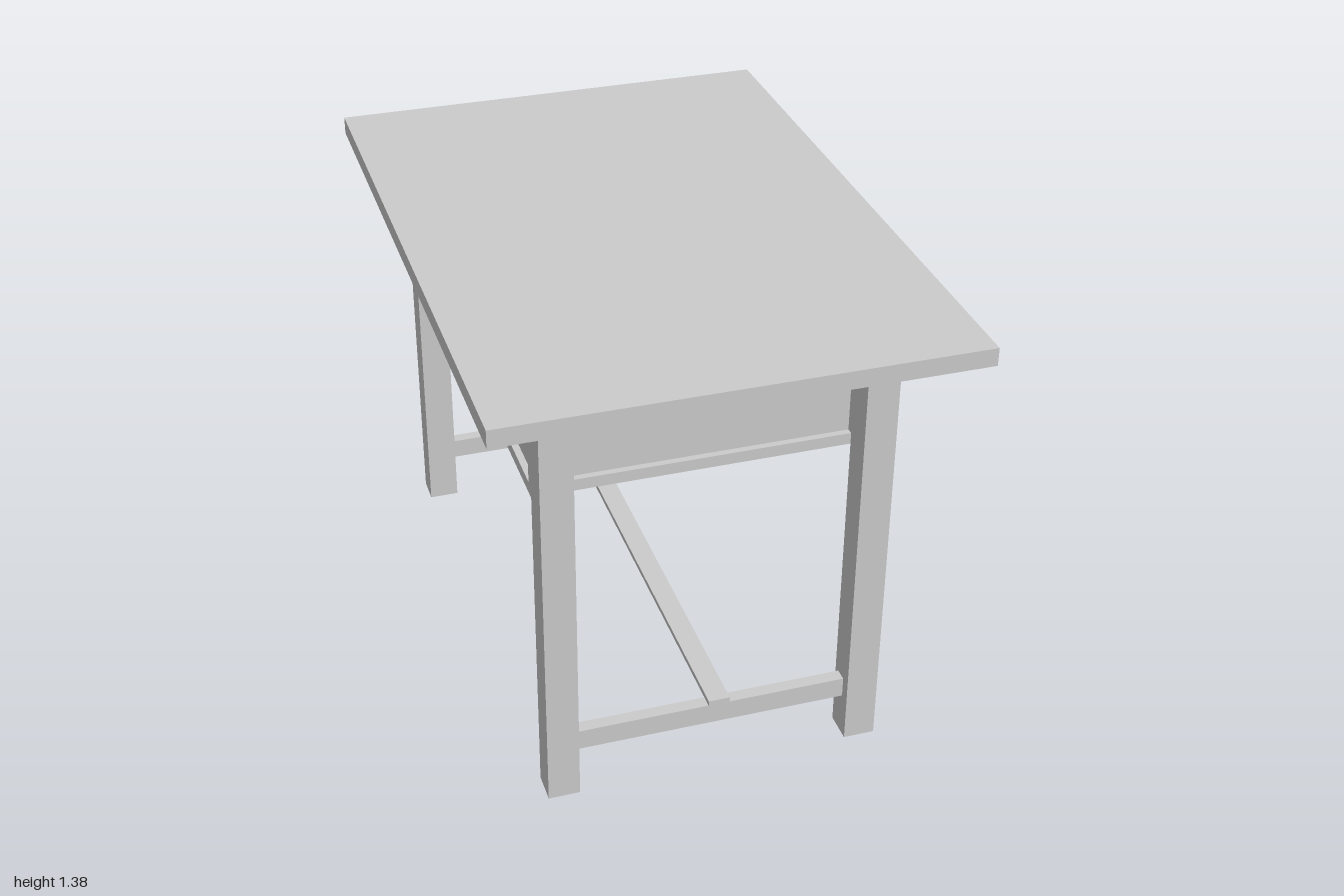
import * as THREE from 'three';

const material = new THREE.MeshStandardMaterial({ color: 0xcccccc, flatShading: true });

// Box given by its extents on each axis
function box(parent, name, [x0, x1], [y0, y1], [z0, z1]) {
  const mesh = new THREE.Mesh(new THREE.BoxGeometry(x1 - x0, y1 - y0, z1 - z0), material);
  mesh.position.set((x0 + x1) / 2, (y0 + y1) / 2, (z0 + z1) / 2);
  mesh.name = name;
  parent.add(mesh);
  return mesh;
}

function subgroup(parent, name) {
  const group = new THREE.Group();
  group.name = name;
  parent.add(group);
  return group;
}

export function createModel() {
  const table = new THREE.Group();
  table.name = 'workTable';

  box(table, 'tableTop', [-0.7, 0.7], [1.33, 1.385], [-1, 1]);

  // Four square legs
  const legX = [[-0.535, -0.44], [0.39, 0.485]];
  const legZ = [[-0.858, -0.765], [0.77, 0.865]];
  for (const x of legX) for (const z of legZ) box(table, 'leg', x, [0, 1.33], z);

  // End stretchers, with a flat bar laid across them
  for (const z of [[-0.835, -0.795], [0.79, 0.83]]) {
    box(table, 'endStretcher', [-0.44, 0.39], [0.135, 0.2], z);
  }
  box(table, 'longStretcher', [-0.035, 0.03], [0.2, 0.217], [-0.832, 0.832]);

  // Carcass: floor, top rails, corner posts and recessed panels
  const carcass = subgroup(table, 'carcass');
  const X = [-0.535, 0.485], Z = [-0.765, 0.77], open = [1.035, 1.29], rail = [1.29, 1.33];
  box(carcass, 'carcassFloor', X, [1.0, 1.035], Z);
  for (const x of [[-0.535, -0.505], [0.455, 0.485]]) box(carcass, 'longTopRail', x, rail, Z);
  for (const z of [[-0.765, -0.735], [0.74, 0.77]]) box(carcass, 'endTopRail', [-0.505, 0.455], rail, z);
  for (const x of legX) {
    box(carcass, 'cornerPost', x, open, [-0.765, -0.76]);
    box(carcass, 'cornerPost', x, open, [0.745, 0.77]);
  }
  for (const z of [[-0.758, -0.738], [0.73, 0.75]]) box(carcass, 'endPanel', [-0.5, 0.39], open, z);
  box(carcass, 'backPanel', [-0.515, -0.495], open, [-0.76, 0.745]);
  box(carcass, 'drawerDivider', [-0.495, 0.445], open, [-0.07, 0.045]);

  // Two drawers, each with a bracket handle
  for (const [z0, z1] of [[-0.755, -0.07], [0.045, 0.735]]) {
    const drawer = subgroup(table, 'drawer');
    box(drawer, 'drawerFront', [0.445, 0.485], [1.04, 1.286], [z0, z1]);
    box(drawer, 'drawerBody', [-0.45, 0.445], [1.045, 1.28], [z0 + 0.01, z1 - 0.01]);
    const mid = (z0 + z1) / 2, half = 0.175;
    const handle = subgroup(drawer, 'handle');
    box(handle, 'handleGrip', [0.512, 0.53], [1.162, 1.18], [mid - half, mid + half]);
    for (const s of [-1, 1]) {
      const c = mid + s * (half - 0.01);
      box(handle, 'handlePost', [0.485, 0.512], [1.162, 1.18], [c - 0.01, c + 0.01]);
    }
  }

  return table;
}
